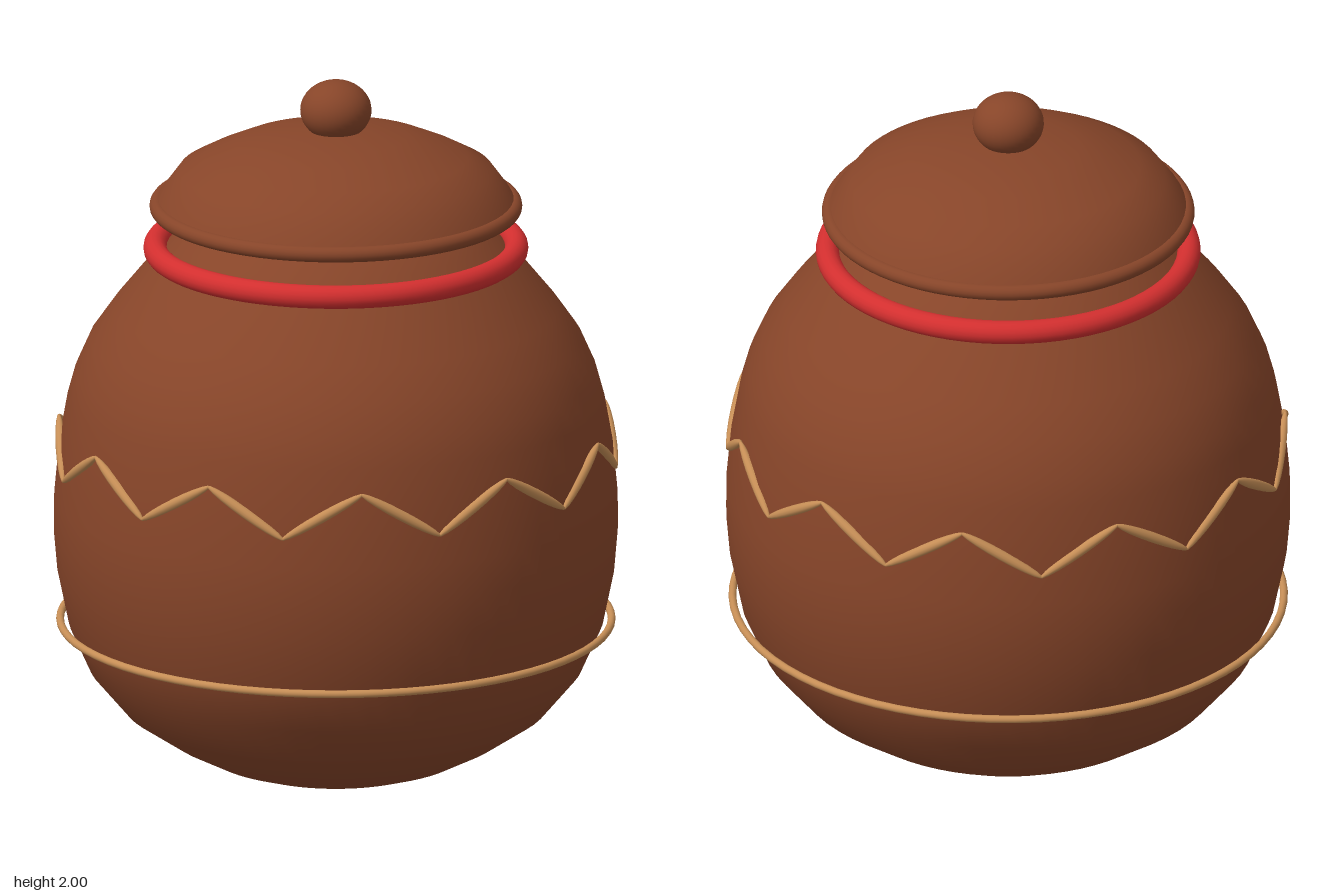
import * as THREE from 'three';

const clay = new THREE.MeshStandardMaterial({ color: 0x874529 });
clay.name = 'brown clay';
const red = new THREE.MeshStandardMaterial({ color: 0xd32f2f });
red.name = 'red band';
const tan = new THREE.MeshStandardMaterial({ color: 0xc68e56 });
tan.name = 'tan trim';

function add(parent, name, geometry, material) {
  const mesh = new THREE.Mesh(geometry, material);
  mesh.name = name;
  parent.add(mesh);
  return mesh;
}

function lathe(profile) {
  return new THREE.LatheGeometry(profile.map(([r, y]) => new THREE.Vector2(r, y)), 64);
}

function ring(radius, tube, y) {
  return new THREE.TorusGeometry(radius, tube, 16, 72).rotateX(Math.PI / 2).translate(0, y, 0);
}

export function createModel() {
  const jar = new THREE.Group();
  jar.name = 'lidded jar';

  // Round body with a short shoulder running up under the lid
  add(jar, 'body', lathe([
    [0, 0], [0.2, 0.008], [0.28, 0.018], [0.36, 0.045], [0.466, 0.1], [0.593, 0.185],
    [0.69, 0.3], [0.748, 0.43], [0.78, 0.585], [0.79, 0.7], [0.789, 0.8], [0.775, 0.95],
    [0.752, 1.08], [0.73, 1.16], [0.688, 1.255], [0.625, 1.345], [0.515, 1.48],
    [0.44, 1.55], [0.36, 1.62], [0.25, 1.65], [0, 1.66],
  ]), clay);

  // Bands around the body
  add(jar, 'neckBand', ring(0.506, 0.033, 1.515), red);
  add(jar, 'lowerBand', ring(0.772, 0.011, 0.435), tan);

  // Zigzag of tapered beads, low at +x and high at -x
  const zigzag = new THREE.Group();
  zigzag.name = 'zigzag';
  jar.add(zigzag);
  const count = 22;
  const bead = new THREE.SphereGeometry(1, 12, 10);
  const corner = (k) => {
    const a = (k / count) * Math.PI * 2;
    const high = k % 2 === 1;
    const r = high ? 0.776 : 0.785;
    return new THREE.Vector3(r * Math.cos(a), high ? 1.015 : 0.885, r * Math.sin(a));
  };
  for (let k = 0; k < count; k++) {
    const from = corner(k);
    const to = corner(k + 1);
    const dir = to.clone().sub(from);
    const mesh = add(zigzag, 'zigzagBead', bead, tan);
    mesh.position.copy(from).add(to).multiplyScalar(0.5);
    mesh.scale.set(0.015, dir.length() * 0.52, 0.015);
    mesh.quaternion.setFromUnitVectors(new THREE.Vector3(0, 1, 0), dir.normalize());
  }

  // Domed lid with rolled rim and knob
  const lid = new THREE.Group();
  lid.name = 'lid';
  jar.add(lid);
  add(lid, 'lidDome', lathe([
    [0.51, 1.637], [0.49, 1.672], [0.44, 1.74], [0.37, 1.778], [0.28, 1.818],
    [0.2, 1.84], [0.1, 1.855], [0, 1.86],
  ]), clay);
  add(lid, 'lidUnderside', new THREE.CircleGeometry(0.5, 64).rotateX(Math.PI / 2).translate(0, 1.637, 0), clay);
  add(lid, 'lidRim', ring(0.5, 0.022, 1.637), clay);
  const knob = add(lid, 'knob', new THREE.SphereGeometry(1, 32, 24), clay);
  knob.scale.set(0.1, 0.085, 0.1);
  knob.position.y = 1.915;

  return jar;
}
